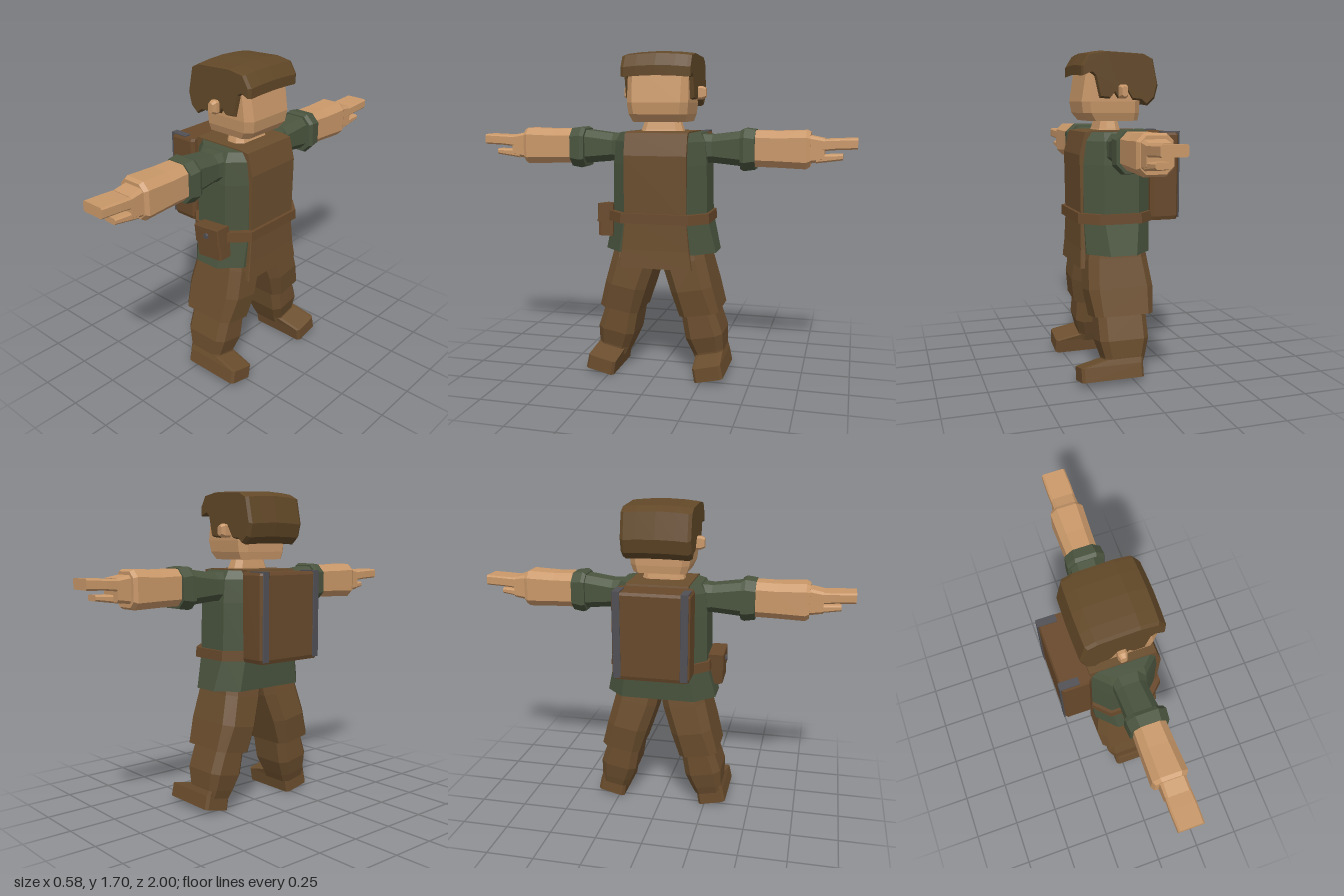
import * as THREE from 'three';

const mat = (name, color) => {
  const m = new THREE.MeshStandardMaterial({ color });
  m.name = name;
  return m;
};

// Join equal-length 3D rings into a closed, flat-shaded solid; outline is the 2D form of a ring.
function solid(rings, outline) {
  const n = outline.length, pos = [];
  const tri = (a, b, c) => pos.push([a, b, c]);
  for (let r = 0; r < rings.length - 1; r++) {
    const A = rings[r], B = rings[r + 1];
    for (let i = 0; i < n; i++) {
      const j = (i + 1) % n;
      tri(A[i], A[j], B[j]);
      tri(A[i], B[j], B[i]);
    }
  }
  const last = rings[rings.length - 1];
  for (const [a, b, c] of THREE.ShapeUtils.triangulateShape(outline, [])) {
    tri(rings[0][c], rings[0][b], rings[0][a]);
    tri(last[a], last[b], last[c]);
  }
  // turn the faces outward whatever the direction of the rings
  const cross = new THREE.Vector3();
  const volume = pos.reduce((v, [a, b, c]) => v + a.dot(cross.crossVectors(b, c)), 0);
  const flat = pos.flatMap(([a, b, c]) => (volume < 0 ? [a, c, b] : [a, b, c])).flatMap(p => p.toArray());
  const g = new THREE.BufferGeometry();
  g.setAttribute('position', new THREE.Float32BufferAttribute(flat, 3));
  g.computeVertexNormals();
  return g;
}

// Rectangle with cut corners, counter-clockwise.
const cutRect = (a0, a1, b0, b1, k) => [
  [a0 + k, b0], [a1 - k, b0], [a1, b0 + k], [a1, b1 - k],
  [a1 - k, b1], [a0 + k, b1], [a0, b1 - k], [a0, b0 + k],
].map(p => new THREE.Vector2(...p));

// Sections [y, x0, x1, z0, z1, cut] stacked upward; slope tilts each one across z; s mirrors z.
function loftY(sections, s = 1, slope = 0) {
  const rects = sections.map(([, ...r]) => cutRect(...r));
  const rings = rects.map((pts, i) => {
    const mid = (sections[i][3] + sections[i][4]) / 2;
    return pts.map(p => new THREE.Vector3(p.x, sections[i][0] + slope * (p.y - mid), s * p.y));
  });
  return solid(rings, rects[0]);
}

// Sections [z, x0, x1, y0, y1, cut] running outward along z.
function loftZ(sections, s = 1) {
  const rects = sections.map(([, ...r]) => cutRect(...r));
  return solid(rects.map((pts, i) => pts.map(p => new THREE.Vector3(p.x, p.y, s * sections[i][0]))), rects[0]);
}

// Side outline carried across z; each step is [z, scale, drop] about a centre.
function across(points, steps, cx = 0, cy = 0) {
  let o = points.map(p => new THREE.Vector2(...p));
  if (THREE.ShapeUtils.isClockWise(o)) o = o.reverse();
  return solid(steps.map(([z, k = 1, drop = 0]) =>
    o.map(p => new THREE.Vector3(cx + (p.x - cx) * k, cy + (p.y - cy) * k - drop, z))), o);
}

export function createModel() {
  const root = new THREE.Group();
  root.name = 'traveller';
  const cloth = mat('brown cloth', 0x6b4e2e);
  const leather = mat('brown leather', 0x68492b);
  const hairMat = mat('hair brown', 0x624828);
  const skin = mat('skin', 0xc99869);
  const green = mat('green tunic', 0x4a543e);
  const grey = mat('grey metal', 0x505055);
  const add = (name, geometry, material, parent = root) => {
    const m = new THREE.Mesh(geometry, material);
    m.name = name;
    parent.add(m);
    return m;
  };

  // Tunic with a flared skirt
  add('tunic', loftY([
    [0.66, -0.12, 0.22, -0.30, 0.30, 0.1],
    [0.85, -0.13, 0.225, -0.255, 0.255, 0.085],
    [1.12, -0.13, 0.225, -0.25, 0.25, 0.085],
    [1.24, -0.125, 0.215, -0.24, 0.24, 0.08],
    [1.285, -0.1, 0.19, -0.215, 0.215, 0.06],
  ]), green);

  // Tabard over chest, shoulders and back, with a hanging front flap
  add('tabard', across([
    [-0.14, 0.84], [0.24, 0.84], [0.245, 1.17], [0.215, 1.285], [0.16, 1.292], [-0.13, 1.29], [-0.145, 1.22],
  ], [[-0.165], [0.165]]), cloth);
  add('tabardFlap', loftY([
    [0.585, 0.225, 0.252, -0.195, 0.195, 0.004],
    [0.68, 0.215, 0.245, -0.18, 0.18, 0.004],
    [0.86, 0.2, 0.24, -0.162, 0.162, 0.004],
  ]), cloth);

  // Belt and side pouch
  add('belt', loftY([
    [0.82, -0.145, 0.26, -0.272, 0.272, 0.09],
    [0.872, -0.145, 0.258, -0.268, 0.268, 0.09],
  ]), leather);
  add('pouch', across([[0.025, 0.72], [0.175, 0.735], [0.165, 0.905], [0, 0.89]],
    [[0.25], [0.315], [0.33, 0.95]], 0.09, 0.81), leather);
  add('pouchFlap', across([[0.01, 0.8], [0.172, 0.81], [0.166, 0.908], [0, 0.893]],
    [[0.26], [0.332], [0.336, 0.95]], 0.09, 0.85), leather);
  const button = add('pouchButton', new THREE.CylinderGeometry(0.015, 0.017, 0.012, 6).toNonIndexed(), grey);
  button.geometry.computeVertexNormals();
  button.rotation.x = Math.PI / 2;
  button.position.set(0.088, 0.855, 0.339);

  // Backpack with two straps over its top and back
  add('backpack', loftY([
    [0.82, -0.28, -0.13, -0.195, 0.195, 0.015],
    [0.84, -0.287, -0.13, -0.202, 0.202, 0.015],
    [1.265, -0.287, -0.13, -0.202, 0.202, 0.015],
    [1.28, -0.28, -0.13, -0.195, 0.195, 0.015],
  ]), leather);

  // Neck and head
  add('neck', loftY([
    [1.26, 0, 0.13, -0.12, 0.12, 0.03],
    [1.30, 0.005, 0.115, -0.11, 0.11, 0.03],
    [1.36, 0.015, 0.1, -0.09, 0.09, 0.025],
  ]), skin);
  add('head', loftY([
    [1.34, -0.085, 0.18, -0.14, 0.14, 0.03],
    [1.38, -0.09, 0.213, -0.155, 0.155, 0.035],
    [1.44, -0.09, 0.222, -0.162, 0.162, 0.035],
    [1.63, -0.09, 0.192, -0.16, 0.16, 0.03],
  ]), skin);

  // Hair with jagged sides and an overhanging fringe
  add('hair', across([
    [-0.15, 1.665], [-0.178, 1.53], [-0.16, 1.46], [-0.12, 1.425], [-0.09, 1.45], [-0.04, 1.455],
    [0, 1.52], [0.04, 1.52], [0.04, 1.46], [0.06, 1.49], [0.085, 1.46], [0.14, 1.465],
    [0.165, 1.575], [0.19, 1.595], [0.236, 1.575], [0.237, 1.625], [0.2, 1.685], [0.11, 1.7], [-0.1, 1.69],
  ], [[-0.182, 0.94, 0.004], [-0.165, 0.99, 0.008], [-0.1, 1, 0.003], [0, 1.01], [0.1, 1, 0.003],
    [0.165, 0.99, 0.008], [0.182, 0.94, 0.004]], 0.05, 1.56), hairMat);

  for (const s of [1, -1]) {
    const side = s > 0 ? 'Right' : 'Left';

    const strap = new THREE.Group();
    strap.name = 'packStrap' + side;
    root.add(strap);
    add('strapBack', loftY([[0.83, -0.292, -0.285, 0.155, 0.195, 0.002],
      [1.284, -0.292, -0.285, 0.155, 0.195, 0.002]], s), grey, strap);
    add('strapTop', loftY([[1.277, -0.292, -0.19, 0.155, 0.195, 0.002],
      [1.285, -0.292, -0.19, 0.155, 0.195, 0.002]], s), grey, strap);

    add('ear' + side, loftZ([[0.15, 0, 0.045, 1.455, 1.52, 0.008],
      [0.2, -0.002, 0.042, 1.455, 1.525, 0.01], [0.222, 0.005, 0.035, 1.465, 1.515, 0.008]], s), skin);

    // Arm held straight out
    const arm = new THREE.Group();
    arm.name = 'arm' + side;
    root.add(arm);
    add('sleeve', loftZ([[0.18, -0.045, 0.135, 1.12, 1.28, 0.035], [0.27, -0.035, 0.12, 1.13, 1.275, 0.035],
      [0.43, -0.03, 0.13, 1.115, 1.295, 0.035]], s), green, arm);
    add('cuff', loftZ([[0.42, -0.045, 0.15, 1.1, 1.3, 0.04], [0.44, -0.045, 0.16, 1.092, 1.31, 0.045],
      [0.495, -0.04, 0.155, 1.1, 1.303, 0.045]], s), green, arm);
    add('forearm', loftZ([[0.47, -0.025, 0.135, 1.115, 1.3, 0.035], [0.6, -0.028, 0.14, 1.113, 1.297, 0.035],
      [0.75, -0.03, 0.147, 1.108, 1.302, 0.035], [0.77, -0.02, 0.135, 1.12, 1.292, 0.03]], s), skin, arm);
    add('palm', loftZ([[0.75, 0, 0.13, 1.135, 1.28, 0.015], [0.84, 0.002, 0.13, 1.15, 1.262, 0.012]], s), skin, arm);
    add('fingers', loftZ([[0.82, 0.002, 0.13, 1.2, 1.258, 0.008], [0.9, 0, 0.132, 1.208, 1.262, 0.008],
      [1, 0.002, 0.13, 1.212, 1.266, 0.008]], s), skin, arm);
    add('thumb', loftZ([[0.8, 0.04, 0.13, 1.14, 1.182, 0.008], [0.93, 0.05, 0.125, 1.157, 1.187, 0.008]], s), skin, arm);

    // Splayed leg: baggy breeches, boot shaft and foot
    const leg = new THREE.Group();
    leg.name = 'leg' + side;
    root.add(leg);
    add('breeches', loftY([
      [0.335, -0.11, 0.2, 0.115, 0.325, 0.035],
      [0.47, -0.125, 0.222, 0.07, 0.29, 0.045],
      [0.62, -0.105, 0.212, 0.02, 0.25, 0.045],
      [0.72, -0.09, 0.19, 0.0, 0.23, 0.04],
    ], s, 0.18), cloth, leg);
    add('bootShaft', loftY([
      [0.08, -0.045, 0.15, 0.2, 0.345, 0.025],
      [0.125, -0.06, 0.155, 0.18, 0.345, 0.03],
      [0.21, -0.08, 0.18, 0.145, 0.342, 0.035],
      [0.35, -0.08, 0.18, 0.12, 0.295, 0.035],
    ], s, 0.2), cloth, leg);
    add('foot', loftY([
      [0.018, -0.04, 0.29, 0.22, 0.37, 0.014],
      [0.09, -0.04, 0.29, 0.208, 0.355, 0.014],
      [0.118, -0.045, 0.16, 0.2, 0.345, 0.014],
    ], s, 0.23), cloth, leg);
  }
  return root;
}
